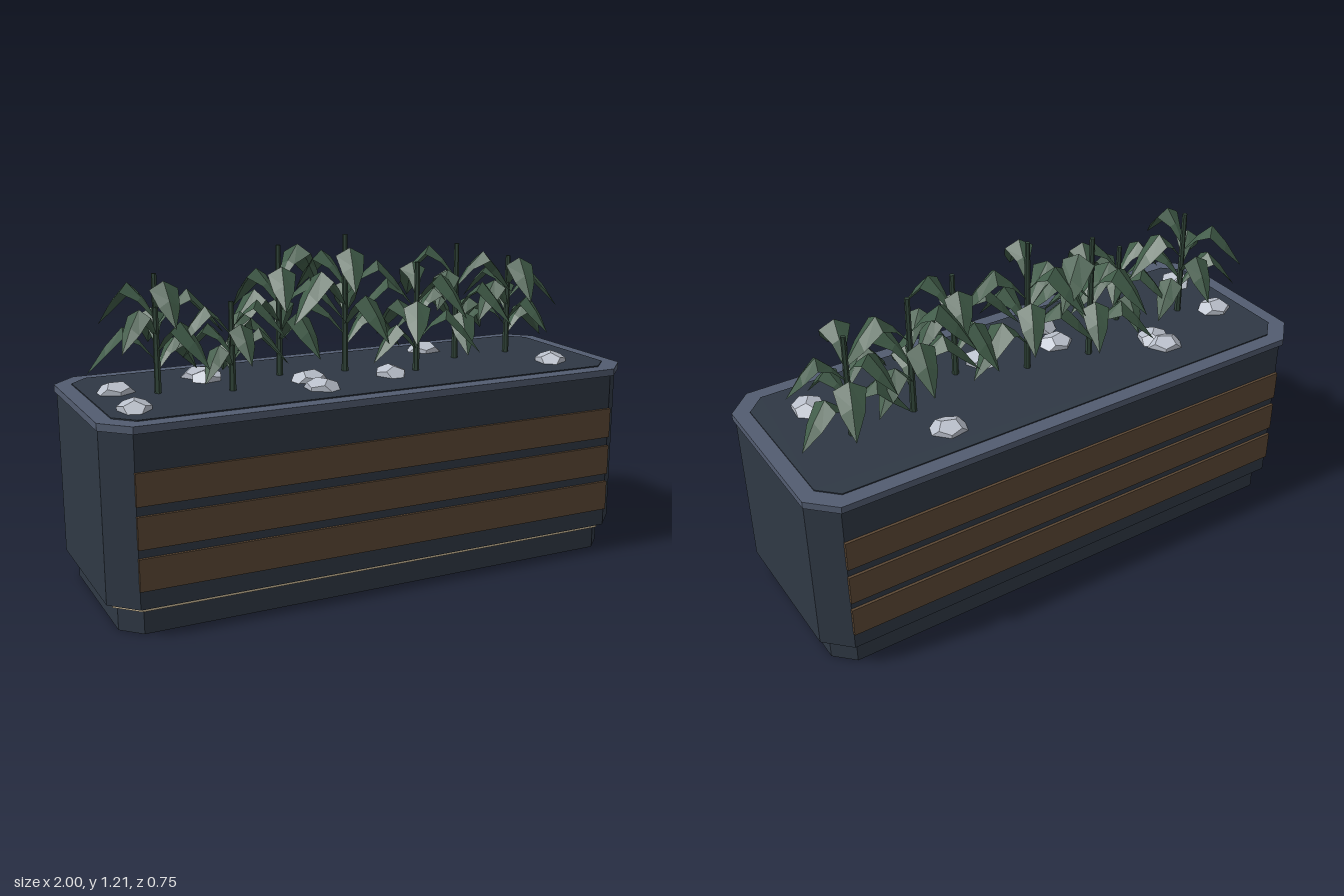
import * as THREE from 'three';

const mat = (name, color, side = THREE.FrontSide) => {
  const m = new THREE.MeshStandardMaterial({ color, flatShading: true, side });
  m.name = name;
  return m;
};

// Chamfered rectangle outline in plan
function octagon(x, z, c, Type = THREE.Shape) {
  const pts = [[x, z - c], [x - c, z], [c - x, z], [-x, z - c], [-x, c - z], [c - x, -z], [x - c, -z], [x, c - z]];
  return new Type(pts.map(([a, b]) => new THREE.Vector2(a, b)));
}

// Upright prism from y0 to y1, optionally with a hole
function prism(shape, y0, y1, hole) {
  if (hole) shape.holes.push(hole);
  return new THREE.ExtrudeGeometry(shape, { depth: y1 - y0, bevelEnabled: false })
    .rotateX(-Math.PI / 2).translate(0, y0, 0);
}

// Arching leaf along +x, folded down on both sides of its midrib
function leafGeometry() {
  // reach, rise, half width, fold drop
  const stations = [
    [0, 0, 0.006, 0], [0.055, 0.075, 0.026, 0.012], [0.11, 0.125, 0.055, 0.03],
    [0.17, 0.06, 0.04, 0.025], [0.235, -0.035, 0, 0],
  ];
  const pos = [], idx = [];
  for (const [r, y, w, d] of stations) pos.push(r, y - d, -w, r, y, 0, r, y - d, w);
  for (let i = 0; i < stations.length - 1; i++) {
    for (let j = 0; j < 2; j++) {
      const a = i * 3 + j;
      idx.push(a, a + 1, a + 3, a + 1, a + 4, a + 3);
    }
  }
  const g = new THREE.BufferGeometry();
  g.setAttribute('position', new THREE.Float32BufferAttribute(pos, 3));
  g.setIndex(idx);
  const flat = g.toNonIndexed();
  flat.computeVertexNormals();
  return flat;
}

export function createModel() {
  const model = new THREE.Group();
  model.name = 'planter';
  const shell = mat('dark slate', 0x2f3844);
  const rimMat = mat('rim blue grey', 0x525c70);
  const wood = mat('brown wood', 0x5c4834);
  const trim = mat('beige trim', 0xcbb998);
  const stone = mat('pale stone', 0xbac0cb);
  const leafMat = mat('leaf green', 0x405b48, THREE.DoubleSide);
  const stemMat = mat('stem green', 0x32463a);

  const add = (name, geo, material, parent = model) => {
    const m = new THREE.Mesh(geo, material);
    m.name = name;
    parent.add(m);
    return m;
  };

  // Box, stacked from the ground up
  add('base', prism(octagon(0.955, 0.325, 0.068), 0, 0.085), shell);
  add('trimStrip', prism(octagon(0.972, 0.338, 0.078), 0.083, 0.1), trim);
  add('body', prism(octagon(0.994, 0.36, 0.088), 0.1, 0.69), shell);
  add('rim', prism(octagon(1, 0.375, 0.09), 0.685, 0.71, octagon(0.945, 0.32, 0.065, THREE.Path)), rimMat);
  add('soil', prism(octagon(0.945, 0.32, 0.065), 0.688, 0.714), shell);

  // Wooden slats, front and back
  for (const side of [1, -1]) {
    for (const y of [0.22, 0.36, 0.503]) {
      add('slat', new THREE.BoxGeometry(1.815, 0.11, 0.02), wood).position.set(0, y, side * 0.36);
    }
  }

  // Half-buried stones
  const stones = [[-0.84, -0.06], [-0.85, 0.19], [-0.51, -0.165], [-0.5, -0.11], [-0.19, 0.19],
    [-0.18, 0.06], [0.12, 0.11], [0.43, -0.2], [0.77, 0.17]];
  const stoneGeo = new THREE.DodecahedronGeometry(0.068, 0);
  stones.forEach(([x, z], i) => {
    const s = add('stone', stoneGeo, stone);
    s.position.set(x, 0.712, z);
    s.scale.set(1, 0.6, 0.9);
    s.rotation.y = i * 1.3;
  });

  // Plants: x, z, stem height, turn
  const plants = [
    [-0.715, 0.01, 0.41, 0.5], [-0.475, 0.085, 0.31, 1.4], [-0.24, -0.062, 0.47, 2.6],
    [0, -0.02, 0.5, 0.2], [0.237, 0.085, 0.4, 3.3], [0.475, -0.04, 0.44, 4.4], [0.712, -0.05, 0.38, 0.3],
  ];
  const leafGeo = leafGeometry();
  const leafCount = 8;
  plants.forEach(([x, z, h, turn], p) => {
    const plant = new THREE.Group();
    plant.name = 'plant';
    plant.position.set(x, 0.71, z);
    model.add(plant);
    add('stem', new THREE.CylinderGeometry(0.009, 0.012, h, 6), stemMat, plant).position.y = h / 2;
    for (let i = 0; i < leafCount; i++) {
      const leaf = add('leaf', leafGeo, leafMat, plant);
      leaf.position.y = h * (0.2 + 0.5 * i / (leafCount - 1));
      leaf.rotation.y = turn + i * 2.4;
      leaf.scale.setScalar(Math.sqrt(h / 0.48) * (0.9 + 0.06 * ((i * 3 + p) % 4)));
    }
  });

  return model;
}
